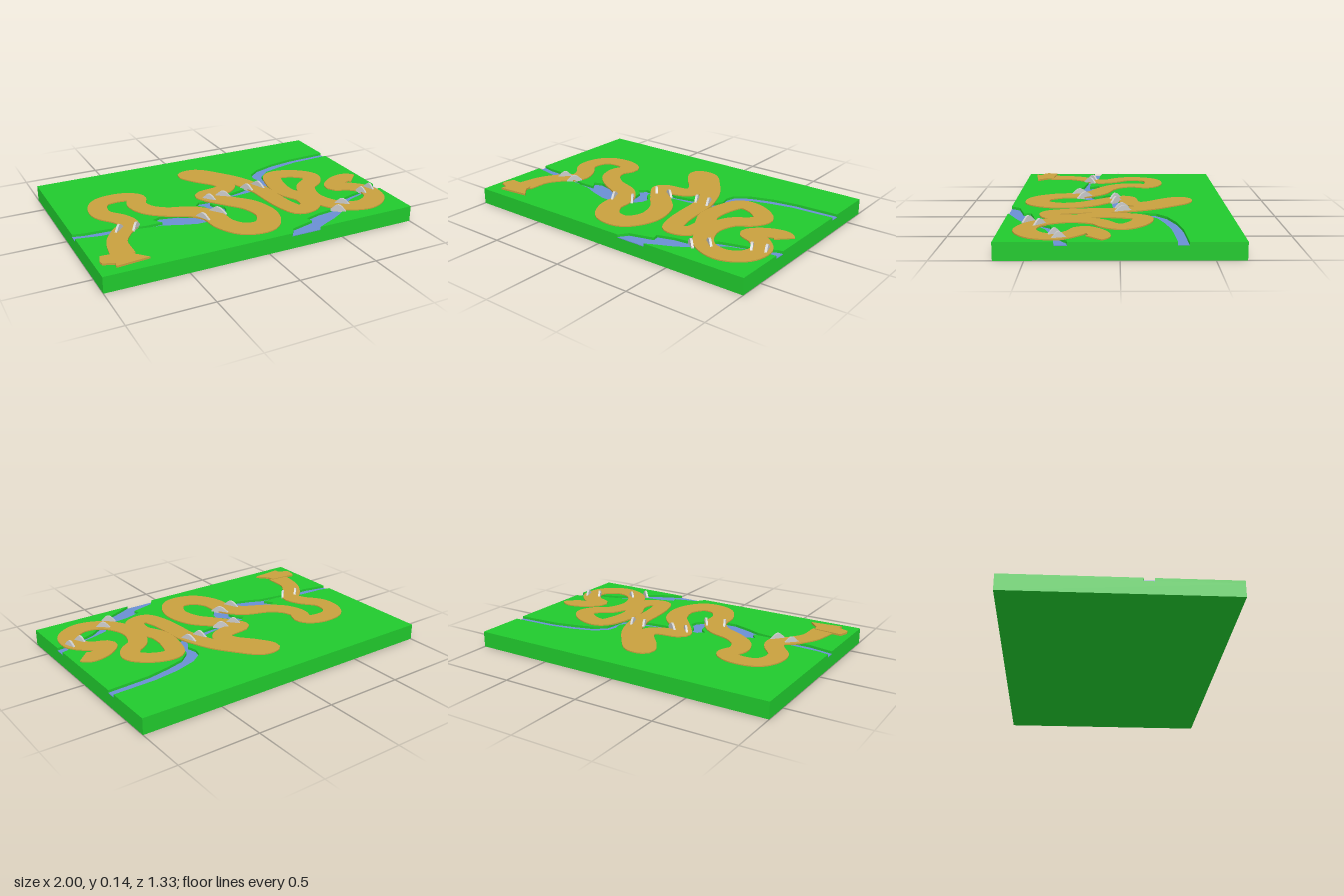
import * as THREE from 'three';

const mat = (color) => new THREE.MeshStandardMaterial({ color, flatShading: true, side: THREE.DoubleSide });
const green = mat(0x20c92d), blue = mat(0x6a8fd3), sand = mat(0xc8a03e), grey = mat(0xcccccc);
const BED = 0.08, GROUND = 0.1, W = 1, D = 0.665;

// River banks, each listed from left to right as [x, z]
const longNorth = [[-1, .12], [-.93, .136], [-.85, .14], [-.74, .147], [-.66, .18], [-.58, .2], [-.47, .2],
  [-.51, .145], [-.46, .125], [-.35, .15], [-.24, .21], [-.14, .16], [-.15, .11], [-.195, .07], [-.155, .035],
  [-.09, .04], [-.02, 0], [.06, .005], [.17, -.02], [.25, -.05], [.32, -.05], [.35, -.1], [.335, -.16],
  [.35, -.22], [.43, -.28], [.57, -.325], [.73, -.35], [1, -.36]];
const longSouth = [[-1, .18], [-.85, .21], [-.74, .21], [-.62, .22], [-.48, .24], [-.4, .275], [-.29, .31],
  [-.22, .31], [-.15, .27], [-.1, .27], [-.05, .21], [-.04, .16], [-.09, .11], [-.1, .08], [-.08, .06],
  [.03, .05], [.17, .04], [.32, .02], [.38, -.01], [.39, -.1], [.4, -.16], [.47, -.22], [.59, -.255],
  [.73, -.285], [1, -.3]];
const shortNorth = [[.15, D], [.19, .61], [.34, .57], [.33, .53], [.43, .5], [.51, .49], [.56, .48], [.62, .43],
  [.65, .39], [.75, .36], [.83, .34], [.91, .32], [.97, .28], [1, .275]];
const shortSouth = [[.34, D], [.4, .635], [.48, .6], [.55, .56], [.59, .53], [.66, .46], [.73, .41], [.84, .375],
  [.95, .35], [1, .345]];

// Road centre line as [x, z, half width]
const roadPath = [[-.82, .48, .07], [-.8, .33], [-.74, .23], [-.66, .14], [-.68, .06], [-.76, -.05], [-.755, -.16],
  [-.7, -.23], [-.56, -.24], [-.49, -.19], [-.52, -.1], [-.49, 0], [-.4, .08], [-.25, .15, .07], [-.17, .25, .07],
  [-.15, .39, .07], [-.07, .5, .075], [.06, .51, .075], [.14, .38, .07], [.11, .22, .07], [.02, .11, .065],
  [-.06, .015], [-.085, -.04], [.06, -.07], [.11, -.12], [.085, -.2], [-.005, -.31], [-.05, -.395], [.02, -.4],
  [.13, -.28], [.2, -.18], [.245, -.08], [.28, .04], [.29, .18], [.31, .32], [.35, .41], [.44, .39], [.465, .27],
  [.41, .14], [.417, -.01], [.47, -.13], [.59, -.115], [.69, -.02], [.66, .055], [.57, .125], [.525, .27],
  [.56, .4], [.64, .49], [.77, .52, .065], [.88, .45, .065], [.9, .33], [.82, .24], [.74, .2], [.81, .13],
  [.9, .11], [.93, .14]];

// Bridge parapets as [x1, z1, x2, z2]
const parapets = [[-.77, .22, -.705, .155], [-.67, .24, -.605, .165], [-.255, .21, -.21, .31],
  [-.15, .175, -.08, .27], [-.11, -.01, -.05, .06], [-.02, -.01, .06, .05], [.19, -.06, .23, .03],
  [.275, -.075, .315, .03], [.525, .49, .595, .55], [.6, .42, .67, .48], [.83, .315, .865, .385],
  [.915, .285, .94, .36]];

// Flat slab from an [x, z] outline, standing on height y
function slab(name, outline, y, height, material) {
  const shape = new THREE.Shape(outline.map(([x, z]) => new THREE.Vector2(x, -z)));
  const geo = new THREE.ExtrudeGeometry(shape, { depth: height, bevelEnabled: false });
  geo.rotateX(-Math.PI / 2).translate(0, y, 0);
  const mesh = new THREE.Mesh(geo, material);
  mesh.name = name;
  return mesh;
}

// Thick ribbon of variable width swept along the road path
function road(bottom, top, steps) {
  const curve = new THREE.CatmullRomCurve3(roadPath.map(([x, z, w = .06]) => new THREE.Vector3(x, w, z)));
  const pos = [], index = [];
  for (let i = 0; i <= steps; i++) {
    const p = curve.getPoint(i / steps), t = curve.getTangent(i / steps);
    const len = Math.hypot(t.x, t.z), nx = t.z / len * p.y, nz = -t.x / len * p.y;
    pos.push(p.x + nx, bottom, p.z + nz, p.x + nx, top, p.z + nz,
      p.x - nx, top, p.z - nz, p.x - nx, bottom, p.z - nz);
    if (i === steps) break;
    for (let k = 0; k < 4; k++) {
      const a = i * 4 + k, b = i * 4 + (k + 1) % 4;
      index.push(a, a + 4, b, b, a + 4, b + 4);
    }
  }
  const e = steps * 4;
  index.push(0, 1, 2, 0, 2, 3, e, e + 2, e + 1, e, e + 3, e + 2);
  const geo = new THREE.BufferGeometry();
  geo.setAttribute('position', new THREE.Float32BufferAttribute(pos, 3));
  geo.setIndex(index);
  geo.computeVertexNormals();
  const mesh = new THREE.Mesh(geo, sand);
  mesh.name = 'road';
  return mesh;
}

// Humped wall between two ground points
function parapet([x1, z1, x2, z2]) {
  const length = Math.hypot(x2 - x1, z2 - z1), thick = 0.014, shape = new THREE.Shape();
  shape.moveTo(-length / 2, .095);
  for (let i = 0; i <= 10; i++) {
    const u = i / 10;
    shape.lineTo((u - .5) * length, .106 + .034 * Math.sin(Math.PI * u) ** 1.2);
  }
  shape.lineTo(length / 2, .095);
  const geo = new THREE.ExtrudeGeometry(shape, { depth: thick, bevelEnabled: false });
  geo.translate(0, 0, -thick / 2);
  const mesh = new THREE.Mesh(geo, grey);
  mesh.name = 'bridgeParapet';
  mesh.position.set((x1 + x2) / 2, 0, (z1 + z2) / 2);
  mesh.rotation.y = -Math.atan2(z2 - z1, x2 - x1);
  return mesh;
}

export function createModel() {
  const model = new THREE.Group();
  model.name = 'riverBoard';
  const back = (list) => [...list].reverse();

  // Base board and the three raised pieces of land
  const base = new THREE.Mesh(new THREE.BoxGeometry(2 * W, BED, 2 * D), green);
  base.name = 'base';
  base.position.y = BED / 2;
  const rise = GROUND - BED;
  model.add(base,
    slab('backLand', [[-W, -D], [W, -D], ...back(longNorth)], BED, rise, green),
    slab('middleLand', [...longSouth, ...back(shortNorth), [-W, D]], BED, rise, green),
    slab('cornerLand', [...shortSouth, [W, D]], BED, rise, green));

  // Water in the channels
  model.add(
    slab('longRiver', [...longNorth, ...back(longSouth)], BED, .004, blue),
    slab('shortRiver', [...shortNorth, ...back(shortSouth)], BED, .004, blue));

  // Road with a ragged starting plate
  model.add(road(.098, .107, 330));
  model.add(slab('startPlate', [[-.945, .46], [-.77, .475], [-.76, .52], [-.7, .585], [-.9, .605], [-.895, .57],
    [-.96, .545], [-.965, .52]], .099, .013, sand));

  // Bridge walls
  const bridges = new THREE.Group();
  bridges.name = 'bridges';
  parapets.forEach((p) => bridges.add(parapet(p)));
  model.add(bridges);
  return model;
}
